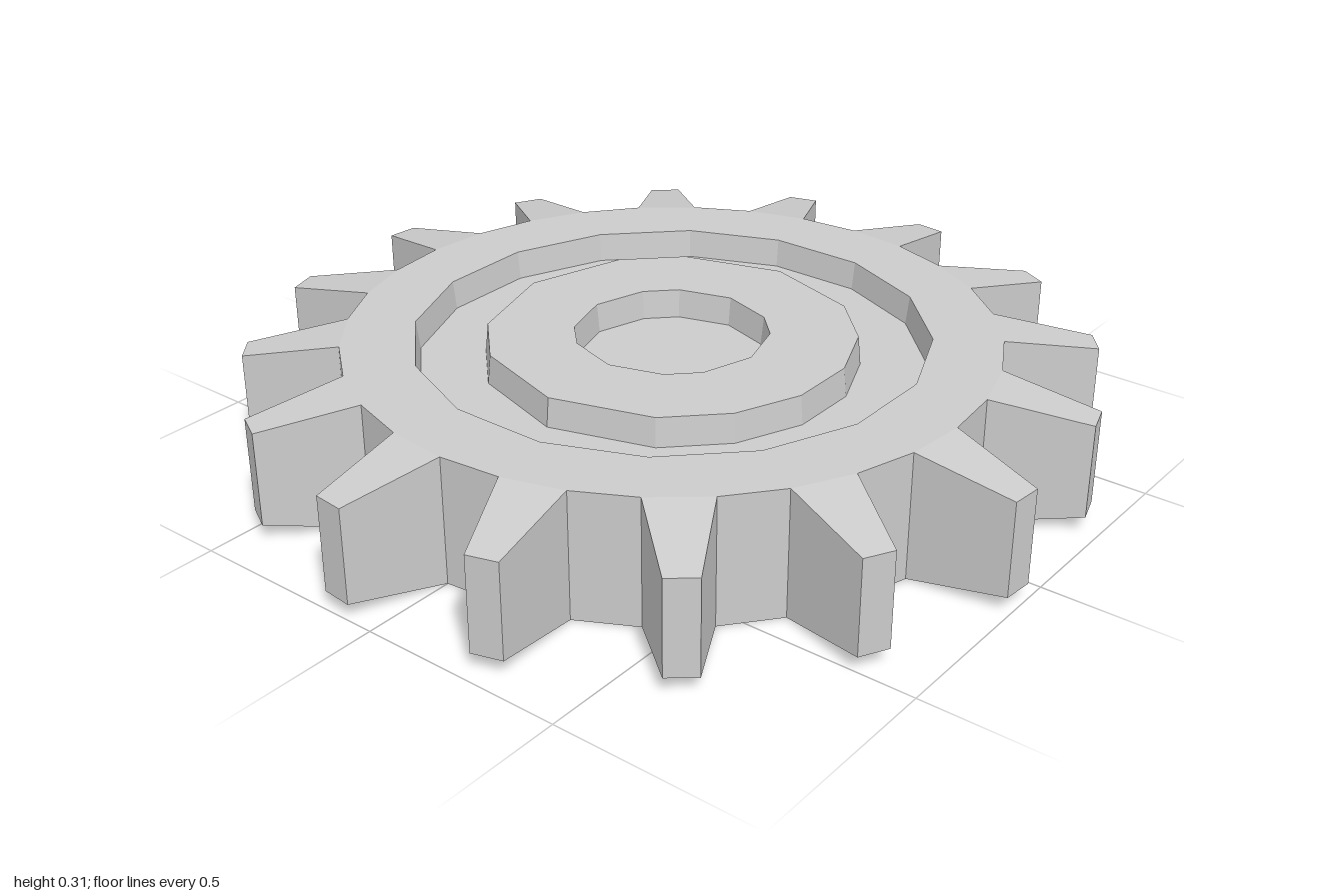
import * as THREE from 'three';

const TEETH = 16, N = TEETH * 2, STEP = (Math.PI * 2) / N;
const HEIGHT = 0.31, FLOOR = 0.24; // recesses are mirrored on the underside
const ROOT = 0.772, TIP = 1.002, TIP_TOP = 0.27;

// Corner positions of the polygons, in steps around the axis
const ALL = Array.from({ length: N }, (_, i) => i);
const ODD = ALL.filter((i) => i % 2);
const HUB = [0, 3, 5, 8, 11, 13, 15, 17, 19, 21, 24, 27, 29];
const BORE = [0, 3, 5, 8, 11, 13, 16, 19, 21, 24, 27, 29];

const polar = (r, step, y) =>
  new THREE.Vector3(r * Math.sin(step * STEP), y, -r * Math.cos(step * STEP));

// Loop of N points lying on the straight edges of a polygon
function ring(corners, r, y) {
  const loop = [];
  corners.forEach((a, k) => {
    const b = k + 1 < corners.length ? corners[k + 1] : corners[0] + N;
    for (let s = a; s < b; s++) {
      loop[s % N] = polar(r, a, y).lerp(polar(r, b, y), (s - a) / (b - a));
    }
  });
  return loop;
}

function quad(out, a, b, c, d) {
  for (const p of [a, b, c, a, c, d]) out.push(p.x, p.y, p.z);
}

// Band between two loops, running outwards on top and inwards underneath
function band(out, from, to, skipTeeth = false) {
  for (let i = 0; i < N; i++) {
    if (skipTeeth && i % 2 === 0) continue;
    const j = (i + 1) % N;
    quad(out, from[i], from[j], to[j], to[i]);
  }
}

// Bands along a profile of [corners, radius, height], repeated mirrored below
function recessed(out, profile) {
  const top = profile.map(([c, r, y]) => ring(c, r, y));
  const under = profile.map(([c, r, y]) => ring(c, r, HEIGHT - y));
  for (let k = 0; k + 1 < profile.length; k++) {
    band(out, top[k], top[k + 1]);
    band(out, under[k + 1], under[k]);
  }
}

function makeMesh(name, positions, material) {
  const g = new THREE.BufferGeometry();
  g.setAttribute('position', new THREE.Float32BufferAttribute(positions, 3));
  g.computeVertexNormals();
  const mesh = new THREE.Mesh(g, material);
  mesh.name = name;
  return mesh;
}

export function createModel() {
  const group = new THREE.Group();
  group.name = 'gear';
  const material = new THREE.MeshStandardMaterial({ color: 0xcccccc, flatShading: true });

  // Raised hub with a shallow blind bore on each side
  const hub = [];
  recessed(hub, [
    [BORE, 0, FLOOR], [BORE, 0.223, FLOOR], [BORE, 0.23, HEIGHT],
    [HUB, 0.436, HEIGHT], [HUB, 0.443, FLOOR],
  ]);
  group.add(makeMesh('hub', hub, material));

  // Sunken web between hub and rim
  const web = [];
  recessed(web, [[HUB, 0.443, FLOOR], [ODD, 0.6, FLOOR]]);
  group.add(makeMesh('web', web, material));

  // Rim with outer wall left open where the teeth join
  const rim = [];
  recessed(rim, [[ODD, 0.6, FLOOR], [ODD, 0.608, HEIGHT], [ALL, ROOT, HEIGHT]]);
  band(rim, ring(ALL, ROOT, HEIGHT), ring(ALL, ROOT, 0), true);
  group.add(makeMesh('rim', rim, material));

  // Teeth taper in width and in height towards the tip
  for (let t = 0; t < TEETH; t++) {
    const s = t * 2, tooth = [];
    const section = (a, b) => [
      polar(ROOT, a, HEIGHT), polar(TIP, b, TIP_TOP),
      polar(TIP, b, HEIGHT - TIP_TOP), polar(ROOT, a, 0),
    ];
    const start = section(s, s + 0.31), end = section(s + 1, s + 0.69);
    for (let k = 0; k < 3; k++) quad(tooth, start[k], end[k], end[k + 1], start[k + 1]);
    quad(tooth, ...start);
    quad(tooth, end[1], end[0], end[3], end[2]);
    group.add(makeMesh('tooth' + (t + 1), tooth, material));
  }
  return group;
}
